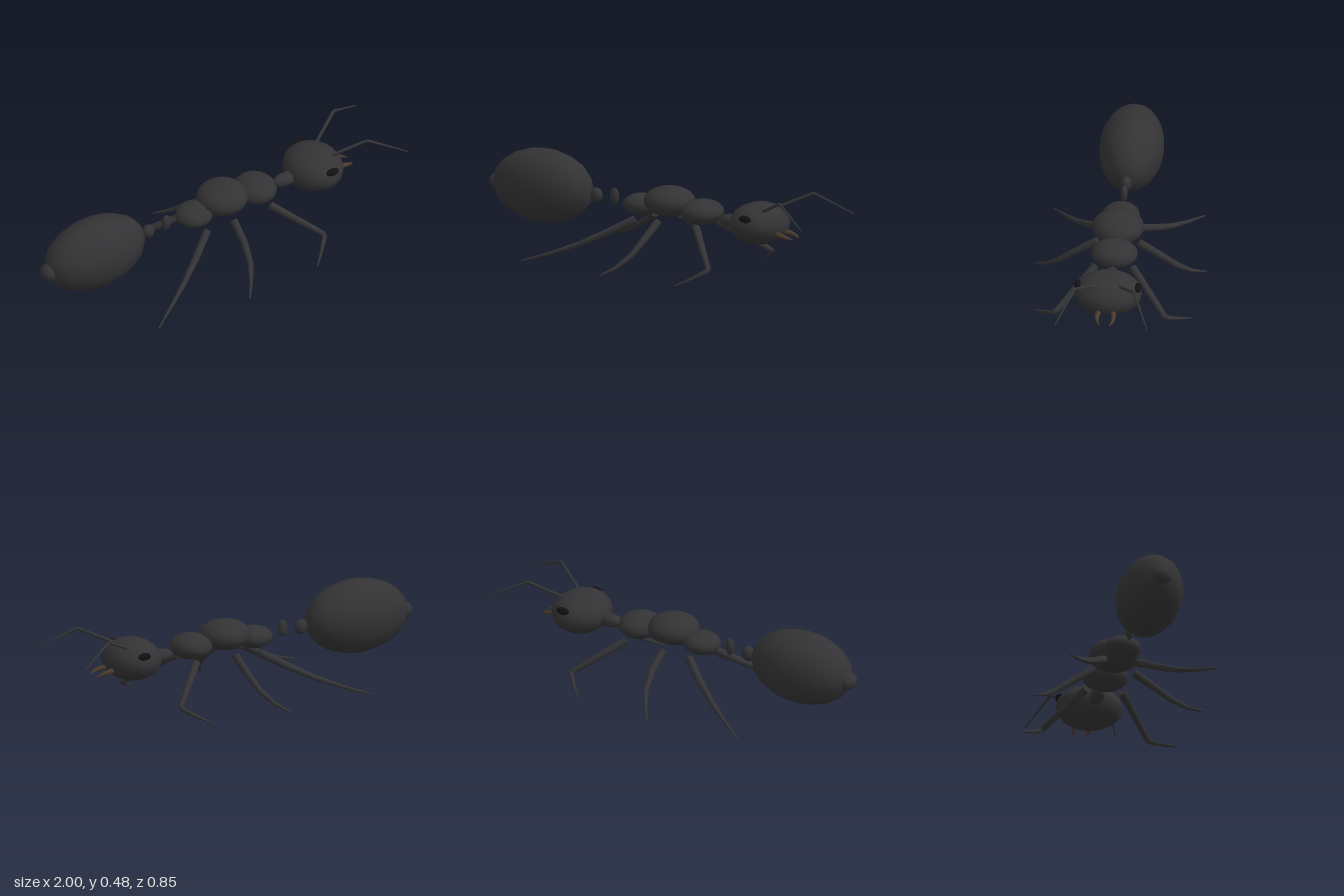
import * as THREE from 'three';

const shell = new THREE.MeshStandardMaterial({ color: 0x333335 });
const eyeMat = new THREE.MeshStandardMaterial({ color: 0x121214 });
const jawMat = new THREE.MeshStandardMaterial({ color: 0x4a3a2e });

// Ellipsoid from centre and radii
function ellipsoid(name, centre, radii, material = shell) {
  const geometry = new THREE.SphereGeometry(1, 20, 10);
  geometry.scale(...radii);
  const mesh = new THREE.Mesh(geometry, material);
  mesh.name = name;
  mesh.position.set(...centre);
  return mesh;
}

// Tapered limb: a cylinder whose rings are moved onto [x, y, z, radius] points
function limb(name, stations, side, material = shell) {
  const last = stations.length - 1;
  const points = stations.map(([x, y, z]) => new THREE.Vector3(x, y, z * side));
  const turns = points.map((p, i) => {
    const before = p.clone().sub(points[Math.max(i - 1, 0)]).normalize();
    const after = points[Math.min(i + 1, last)].clone().sub(p).normalize();
    return new THREE.Quaternion().setFromUnitVectors(
      new THREE.Vector3(0, -1, 0), before.add(after).normalize());
  });
  const geometry = new THREE.CylinderGeometry(1, 1, 1, 10, last);
  const position = geometry.attributes.position;
  const v = new THREE.Vector3();
  for (let k = 0; k < position.count; k++) {
    v.fromBufferAttribute(position, k);
    const i = Math.round((0.5 - v.y) * last);
    v.setY(0).multiplyScalar(stations[i][3]).applyQuaternion(turns[i]).add(points[i]);
    position.setXYZ(k, v.x, v.y, v.z);
  }
  geometry.computeVertexNormals();
  const mesh = new THREE.Mesh(geometry, material);
  mesh.name = name;
  return mesh;
}

export function createModel() {
  const ant = new THREE.Group();
  ant.name = 'ant';

  // Body segments from tail to head
  ant.add(
    ellipsoid('abdomenTip', [-0.955, 0.285, 0], [0.045, 0.045, 0.05]),
    ellipsoid('abdomen', [-0.69, 0.296, 0], [0.28, 0.183, 0.158]),
    ellipsoid('rearWaistNode', [-0.375, 0.288, 0], [0.033, 0.038, 0.027]),
    ellipsoid('frontWaistNode', [-0.268, 0.297, 0], [0.024, 0.043, 0.018]),
    ellipsoid('rearThorax', [-0.105, 0.28, 0], [0.094, 0.054, 0.092]),
    ellipsoid('middleThorax', [0.06, 0.317, 0], [0.128, 0.074, 0.127]),
    ellipsoid('frontThorax', [0.255, 0.288, 0], [0.103, 0.063, 0.114]),
    ellipsoid('neck', [0.43, 0.266, 0], [0.07, 0.034, 0.037]),
    ellipsoid('head', [0.595, 0.278, 0], [0.142, 0.103, 0.165]),
  );

  // Paired parts on both sides
  for (const side of [1, -1]) {
    ant.add(ellipsoid('eye', [0.61, 0.324, 0.147 * side], [0.035, 0.019, 0.017], eyeMat));

    ant.add(limb('antenna', [
      [0.65, 0.35, 0.06, 0.008], [0.81, 0.426, 0.143, 0.008],
      [0.825, 0.423, 0.15, 0.007], [1.0, 0.333, 0.225, 0.003],
    ], side));

    ant.add(limb('mandible', [
      [0.715, 0.245, 0.034, 0.013], [0.75, 0.241, 0.041, 0.012],
      [0.785, 0.233, 0.038, 0.008], [0.81, 0.224, 0.024, 0.002],
    ], side, jawMat));

    ant.add(limb('frontLeg', [
      [0.28, 0.228, 0.09, 0.02], [0.38, 0.152, 0.18, 0.017],
      [0.472, 0.082, 0.262, 0.014], [0.474, 0.07, 0.278, 0.013],
      [0.42, 0.036, 0.33, 0.008], [0.36, 0.005, 0.384, 0.004],
    ], side));

    ant.add(limb('middleLeg', [
      [0.06, 0.232, 0.1, 0.02], [0.054, 0.165, 0.2, 0.018],
      [0.034, 0.096, 0.285, 0.015], [-0.008, 0.042, 0.352, 0.01],
      [-0.062, 0.005, 0.42, 0.004],
    ], side));

    ant.add(limb('hindLeg', [
      [-0.085, 0.222, 0.085, 0.02], [-0.2, 0.155, 0.16, 0.018],
      [-0.315, 0.095, 0.228, 0.014], [-0.44, 0.045, 0.298, 0.009],
      [-0.562, 0.005, 0.368, 0.004],
    ], side));
  }
  return ant;
}
